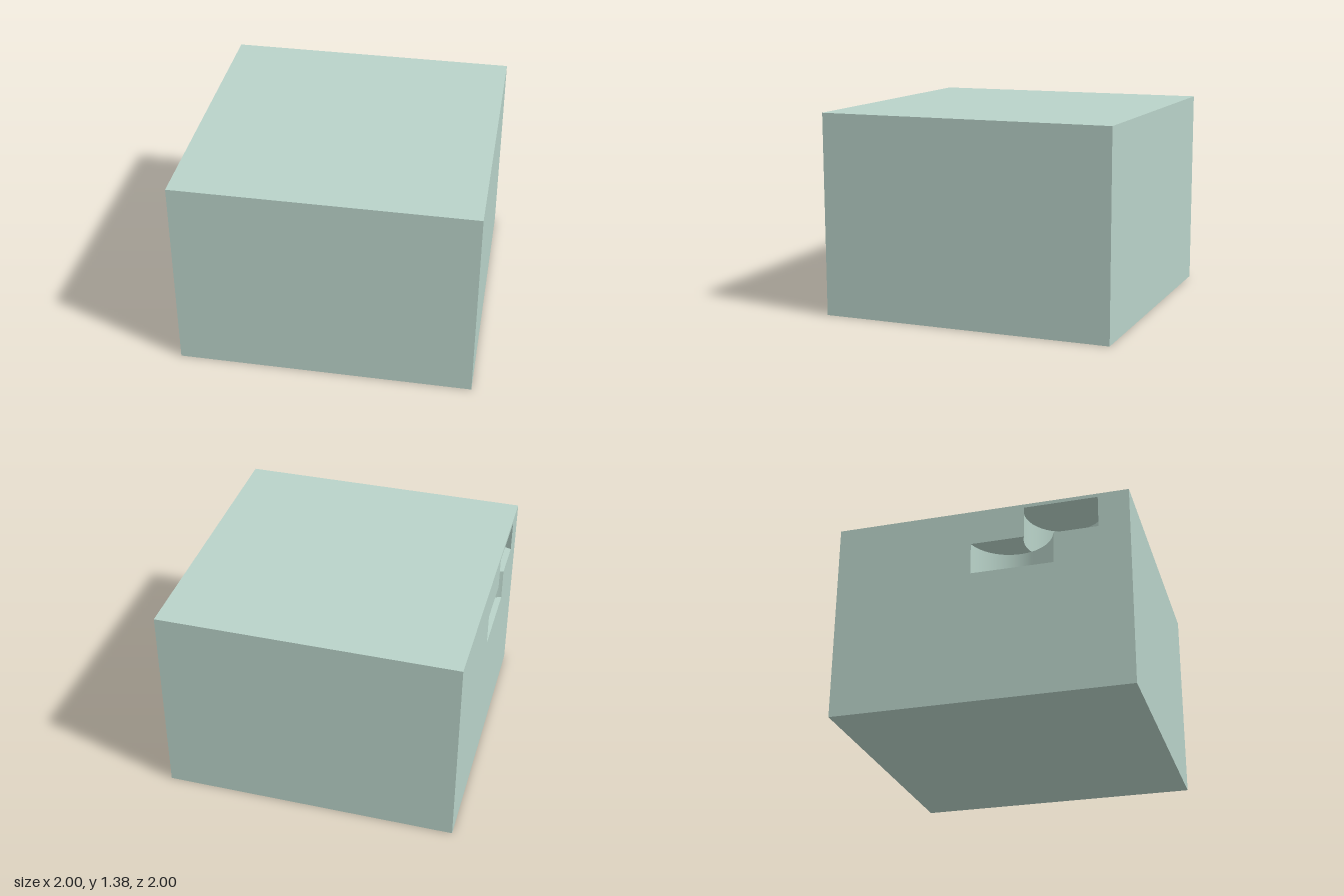
import * as THREE from 'three';

const H = 1.375;                       // block height
const FLOOR = 0.91, MID = 1.13, CEIL = 1.35;
// Round pockets cut into the -x side: centre z, centre depth behind the face, radius
const lower = { z: 0.214, d: -0.076, r: 0.29 };
const upper = { z: 0.545, d: 0.106, r: 0.27 };

const material = new THREE.MeshStandardMaterial({ color: 0xb9d3c9, side: THREE.DoubleSide });

const half = (c) => Math.sqrt(c.r * c.r - c.d * c.d);      // half the opening width
const startAngle = (c) => -Math.asin(c.d / c.r);           // where the arc meets the face
const endAngle = (c) => Math.PI - startAngle(c);
const angleTo = (c, p) => Math.atan2(p.y - c.d, p.x - c.z);

// Points along a pocket's circle, in (z, depth)
function arc(c, from, to, n = 48) {
  return Array.from({ length: n + 1 }, (_, i) => {
    const a = from + (to - from) * i / n;
    return new THREE.Vector2(c.z + c.r * Math.cos(a), c.d + c.r * Math.sin(a));
  });
}

// The inner point where both pocket circles cross
function crossing(a, b) {
  const dz = b.z - a.z, dd = b.d - a.d, dist = Math.hypot(dz, dd);
  const along = (dist * dist + a.r * a.r - b.r * b.r) / (2 * dist);
  const off = Math.sqrt(a.r * a.r - along * along);
  return new THREE.Vector2(a.z + (along * dz - off * dd) / dist, a.d + (along * dd + off * dz) / dist);
}

export function createModel() {
  const group = new THREE.Group();
  const add = (name, geometry) => {
    const mesh = new THREE.Mesh(geometry, material);
    mesh.name = name;
    group.add(mesh);
    return mesh;
  };

  // Block without its -x side
  const block = new THREE.BoxGeometry(2, H, 2).translate(0, H / 2, 0);
  const index = Array.from(block.index.array);
  index.splice(6, 6);
  block.setIndex(index);
  block.clearGroups();
  add('block', block);

  // -x side with the stepped opening, drawn in (z, y)
  const side = new THREE.Shape([[-1, 0], [1, 0], [1, H], [-1, H]].map((p) => new THREE.Vector2(...p)));
  const l0 = lower.z - half(lower), l1 = lower.z + half(lower);
  const u0 = upper.z - half(upper), u1 = upper.z + half(upper);
  side.holes.push(new THREE.Path([
    [l0, FLOOR], [l0, MID], [u0, MID], [u0, CEIL], [u1, CEIL], [u1, MID], [l1, MID], [l1, FLOOR],
  ].map((p) => new THREE.Vector2(...p))));
  add('rightSide', new THREE.ShapeGeometry(side).rotateY(-Math.PI / 2).translate(-1, 0, 0));

  // Curved pocket walls
  const wall = (name, c, y0, y1) => add(name, new THREE.CylinderGeometry(
    c.r, c.r, y1 - y0, 48, 1, true, startAngle(c), endAngle(c) - startAngle(c),
  ).translate(-1 + c.d, (y0 + y1) / 2, c.z));
  wall('lowerPocketWall', lower, FLOOR, MID);
  wall('upperPocketWall', upper, MID, CEIL);

  // Flat pocket floors and ceilings, drawn in (z, depth) and laid level
  const lay = new THREE.Matrix4().makeBasis(
    new THREE.Vector3(0, 0, 1), new THREE.Vector3(1, 0, 0), new THREE.Vector3(0, 1, 0));
  const level = (name, points, y) => add(name,
    new THREE.ShapeGeometry(new THREE.Shape(points)).applyMatrix4(lay).translate(-1, y, 0));
  const p = crossing(lower, upper);
  const pl = angleTo(lower, p), pu = angleTo(upper, p);
  const puTurn = pu < 0 ? pu + 2 * Math.PI : pu;
  level('lowerPocketFloor', arc(lower, startAngle(lower), endAngle(lower)), FLOOR);
  level('lowerPocketCeiling', [
    ...arc(lower, pl, endAngle(lower)), ...arc(upper, endAngle(upper), puTurn).slice(0, -1),
  ], MID);
  level('upperPocketFloor', [
    ...arc(upper, startAngle(upper), puTurn), ...arc(lower, pl, startAngle(lower)).slice(1),
  ], MID);
  level('upperPocketCeiling', arc(upper, startAngle(upper), endAngle(upper)), CEIL);

  return group;
}
